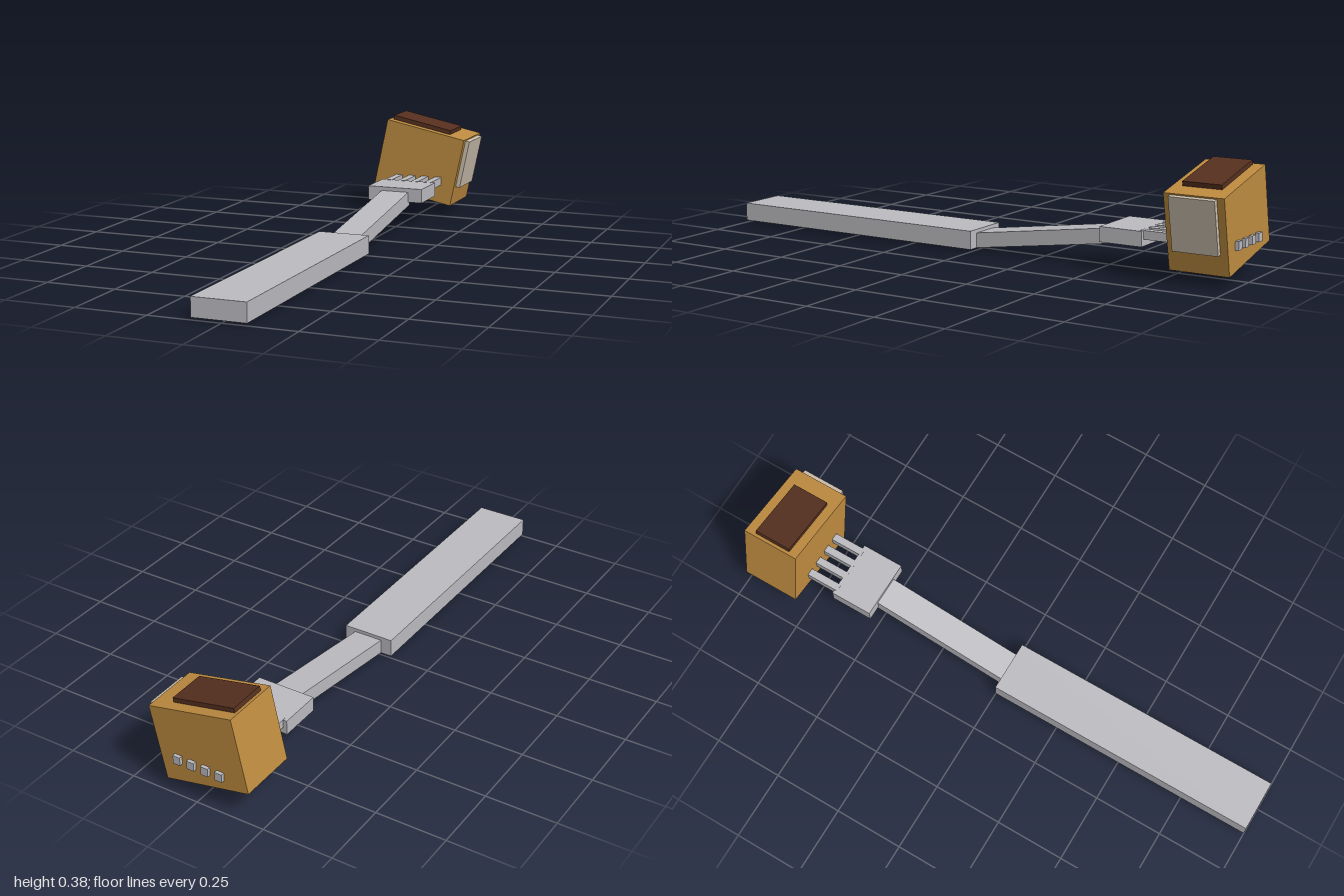
import * as THREE from 'three';

const mat = (name, color) => {
  const m = new THREE.MeshStandardMaterial({ color });
  m.name = name;
  return m;
};

export function createModel() {
  const metal = mat('metal', 0xbcbcc1);
  const crust = mat('golden crust', 0xbf8c40);
  const sear = mat('dark sear', 0x56301f);
  const pale = mat('pale flesh', 0xcfc1b0);

  const model = new THREE.Group();
  model.name = 'forkWithMorsel';

  const box = (parent, name, material, size, pos) => {
    const mesh = new THREE.Mesh(new THREE.BoxGeometry(...size), material);
    mesh.name = name;
    mesh.position.set(...pos);
    parent.add(mesh);
    return mesh;
  };

  // Fork: flat handle, rising neck, palm and four tines
  const fork = new THREE.Group();
  fork.name = 'fork';
  model.add(fork);
  box(fork, 'handle', metal, [0.186, 0.065, 1], [-0.009, 0.0425, 0.5]);
  const neck = box(fork, 'neck', metal, [0.106, 0.052, 0.59], [-0.008, 0.069, -0.232]);
  neck.rotation.x = 0.14;
  box(fork, 'palm', metal, [0.213, 0.052, 0.155], [-0.0085, 0.123, -0.588]);
  for (let i = 0; i < 4; i++) {
    box(fork, 'tine', metal, [0.027, 0.03, 0.345], [-0.0875 + i * 0.053, 0.135, -0.8275]);
  }

  // Tilted morsel speared on the tines
  const morsel = new THREE.Group();
  morsel.name = 'morsel';
  morsel.position.set(-0.008, 0.202, -0.8825);
  morsel.rotation.z = -0.2055;
  model.add(morsel);
  box(morsel, 'morselBody', crust, [0.319, 0.265, 0.21], [0, 0, 0]);
  box(morsel, 'searedTop', sear, [0.237, 0.028, 0.137], [-0.029, 0.1347, 0.0025]);
  box(morsel, 'paleSide', pale, [0.028, 0.186, 0.16], [0.1616, 0.0345, 0.0015]);

  return model;
}
